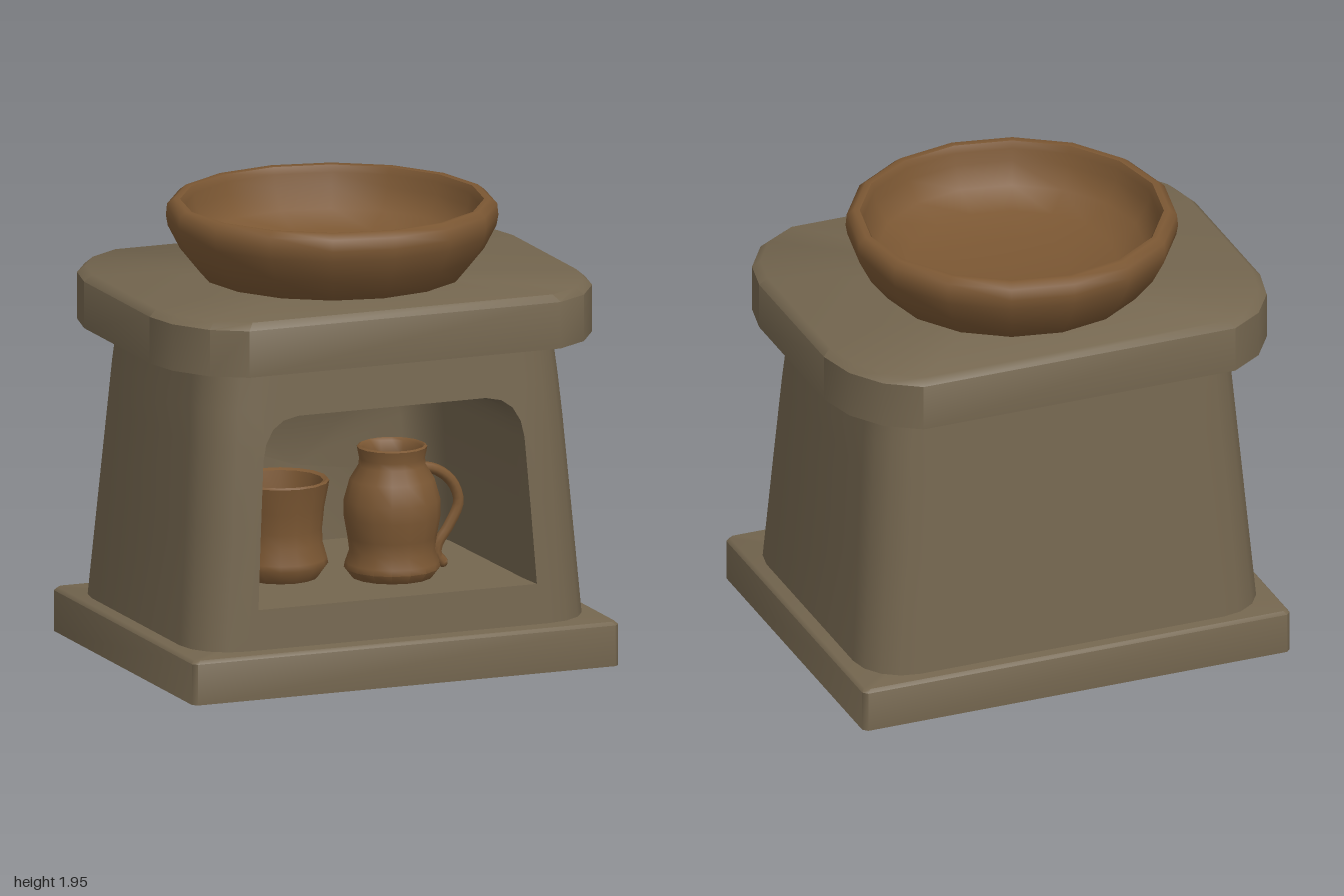
import * as THREE from 'three';
import { mergeGeometries, toCreasedNormals } from 'three/addons/utils/BufferGeometryUtils.js';

const stone = new THREE.MeshStandardMaterial({ color: 0x74664f });
stone.name = 'stone';
const clay = new THREE.MeshStandardMaterial({ color: 0x7b5733 });
clay.name = 'clay';

// Skin between successive rings of [x, y, z] points
function loft(rings, closed = true) {
  const n = rings[0].length, index = [];
  for (let i = 0; i + 1 < rings.length; i++) {
    for (let j = 0; j < (closed ? n : n - 1); j++) {
      const k = (j + 1) % n, a = i * n + j, b = i * n + k, c = a + n, d = b + n;
      index.push(a, b, d, a, d, c);
    }
  }
  const g = new THREE.BufferGeometry();
  g.setAttribute('position', new THREE.Float32BufferAttribute(rings.flat(2), 3));
  g.setIndex(index);
  return g.toNonIndexed();
}

function mesh(name, geometry, material) {
  const m = new THREE.Mesh(geometry, material);
  m.name = name;
  return m;
}

// Flat slab from a plan outline, with a small bevel around the top
function slab(name, outline, y0, y1, bevel) {
  const ring = (y, s, inset = 0) => outline.map(([x, z]) => {
    const len = Math.hypot(x, z);
    return [x * s - (x / len) * inset * 1.2, y, z * s - (z / len) * inset * 1.2];
  });
  const g = loft([ring(y0, 0.001), ring(y0, 1), ring(y1 - bevel, 1),
    ring(y1, 1, bevel), ring(y1, 0.001)]);
  return mesh(name, toCreasedNormals(g, 0.85), stone);
}

// Body half width, front z and back z at a height
const levels = [0.19, 0.7, 1.05, 1.22, 1.4];
const sizes = [[0.915, 0.695, -0.71], [0.876, 0.663, -0.67], [0.849, 0.64, -0.643],
  [0.836, 0.621, -0.63], [0.817, 0.603, -0.615]];
function sizeAt(y) {
  let i = 0;
  while (i < 3 && y > levels[i + 1]) i++;
  const t = (y - levels[i]) / (levels[i + 1] - levels[i]);
  return sizes[i].map((v, k) => v + (sizes[i + 1][k] - v) * t);
}

function createBody() {
  const r = 0.22;
  // Sides, back and rounded corners
  const shell = loft(levels.map((y) => {
    const [w, f, b] = sizeAt(y), pts = [];
    [[1, f - r, 90], [1, b + r, 0], [-1, b + r, -90], [-1, f - r, -180]].forEach(([s, z, a0]) => {
      for (let k = 0; k <= 4; k++) {
        const a = THREE.MathUtils.degToRad(a0 - k * 22.5);
        pts.push([s * (w - r) + r * Math.cos(a), y, z + r * Math.sin(a)]);
      }
    });
    return pts;
  }), false);

  // Front frame running into the hollow niche
  const mirror = (half) => [...half, ...half.slice(1, -1).reverse().map(([x, y]) => [-x, y])];
  const edge = (y) => [sizeAt(y)[0] - r, y];
  const outer = mirror([[0, 0.19], edge(0.19), edge(0.7), edge(1.05), edge(1.22), edge(1.4),
    [0.5, 1.4], [0.4, 1.4], [0, 1.4]]);
  const opening = mirror([[0, 0.365], [0.64, 0.365], [0.62, 0.7], [0.6, 1.0], [0.585, 1.07],
    [0.55, 1.13], [0.5, 1.165], [0.43, 1.18], [0, 1.18]]);
  const onFront = (pts) => pts.map(([x, y]) => [x, y, sizeAt(y)[1]]);
  const inside = (z, s, cy = 0.365) => opening.map(([x, y]) => [x * s, cy + (y - cy) * s, z]);
  const front = loft([onFront(outer), onFront(opening), inside(0.56, 0.982), inside(-0.2, 0.96),
    inside(-0.36, 0.92), inside(-0.43, 0.8), inside(-0.45, 0.001, 0.7)]);
  return mesh('body', toCreasedNormals(mergeGeometries([shell, front]), 0.8), stone);
}

// Turned pot from [radius, height] points
function pot(name, profile, sides) {
  const pts = profile.map(([x, y]) => new THREE.Vector2(x, y));
  return mesh(name, toCreasedNormals(new THREE.LatheGeometry(pts, sides), 0.9), clay);
}

export function createModel() {
  const model = new THREE.Group();
  model.name = 'stoneStand';

  // Plinth with slightly clipped corners
  model.add(slab('base', [[-0.96, 0.785], [0.96, 0.785], [0.98, 0.765], [0.98, -0.75],
    [0.96, -0.77], [-0.96, -0.77], [-0.98, -0.75], [-0.98, 0.765]], 0, 0.192, 0.015));
  model.add(createBody());

  // Rounded table top
  const right = [[0.715, 0.765], [0.86, 0.675], [0.965, 0.515], [1, 0.35],
    [1, -0.37], [0.957, -0.55], [0.86, -0.695], [0.715, -0.79]];
  const left = [...right].reverse().map(([x, z]) => [-x, z]);
  model.add(slab('tableTop', [...right, ...left], 1.4, 1.632, 0.03));

  // Bowl
  const bowl = pot('bowl', [[0, 1.632], [0.565, 1.632], [0.645, 1.73], [0.697, 1.83], [0.705, 1.875],
    [0.7, 1.925], [0.67, 1.948], [0.645, 1.945], [0.63, 1.915], [0.625, 1.86], [0.57, 1.77],
    [0.45, 1.71], [0.25, 1.68], [0, 1.67]], 16);
  bowl.position.z = -0.035;
  model.add(bowl);

  // Cup
  const cup = pot('cup', [[0, 0.366], [0.16, 0.366], [0.203, 0.425], [0.198, 0.45], [0.178, 0.52],
    [0.177, 0.58], [0.186, 0.67], [0.208, 0.785], [0.2, 0.793], [0.182, 0.785], [0.16, 0.67],
    [0.15, 0.5], [0.13, 0.42], [0, 0.41]], 16);
  cup.position.set(-0.307, 0, 0.13);
  model.add(cup);

  // Jug with handle
  const jug = new THREE.Group();
  jug.name = 'jug';
  jug.add(pot('jugBody', [[0, 0.366], [0.175, 0.366], [0.205, 0.405], [0.2, 0.43], [0.182, 0.48],
    [0.19, 0.54], [0.206, 0.63], [0.205, 0.7], [0.18, 0.79], [0.143, 0.85], [0.14, 0.88],
    [0.15, 0.93], [0.14, 0.936], [0.125, 0.925], [0.118, 0.85], [0.165, 0.74], [0.17, 0.6],
    [0.15, 0.43], [0, 0.41]], 16));
  const path = new THREE.CatmullRomCurve3([[0.12, 0.83], [0.2, 0.81], [0.275, 0.75], [0.305, 0.66],
    [0.26, 0.56], [0.21, 0.485], [0.205, 0.44], [0.232, 0.405]].map(([x, y]) => new THREE.Vector3(x, y, 0)));
  jug.add(mesh('jugHandle', new THREE.TubeGeometry(path, 20, 0.024, 8), clay));
  // Rounded handle tip
  const tip = mesh('handleTip', new THREE.SphereGeometry(0.024, 8, 6), clay);
  tip.position.set(0.232, 0.405, 0);
  jug.add(tip);
  jug.position.set(0.135, 0, 0.3);
  model.add(jug);

  return model;
}
